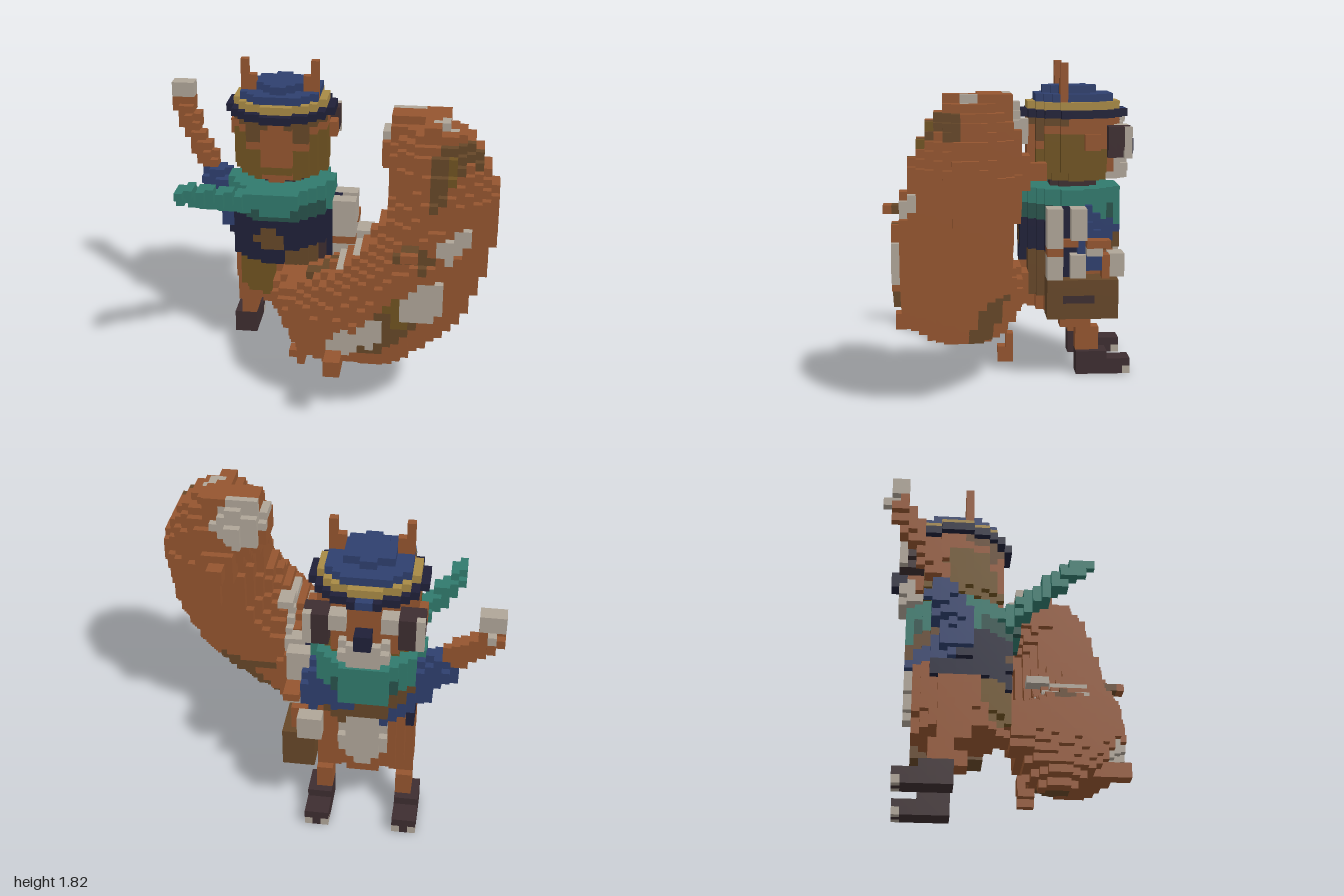
import * as THREE from 'three';

// Blocky courier squirrel: solids are sampled on a cube grid, then meshed per part and colour.
const V = 1 / 22, N = [44, 40, 33], O = [-1, 0, -16.5 * V];
const MID = -6 * V; // body centre line in x

const COLOURS = {
  rust: 0x94552f, cream: 0xafa598, teal: 0x317a6d, deepTeal: 0x28524b, blue: 0x2e3f6e, navy: 0x1f2038,
  gold: 0xa88a45, olive: 0x705321, brown: 0x664728, charcoal: 0x3d2d30,
};

// Solid tests
const ball = (c, r) => (x, y, z) =>
  ((x - c[0]) / r[0]) ** 2 + ((y - c[1]) / r[1]) ** 2 + ((z - c[2]) / r[2]) ** 2 <= 1;
const box = (x0, x1, y0, y1, z0, z1) => (x, y, z) =>
  x > x0 && x < x1 && y > y0 && y < y1 && z > z0 && z < z1;
const drum = (cz, r, y0, y1) => (x, y, z) => y > y0 && y < y1 && Math.hypot(x - MID, z - cz) <= r;
// Mirrored box: distances outward from the centre line
const pair = (d0, d1, ...r) => {
  const l = box(MID - d1, MID - d0, ...r), q = box(MID + d0, MID + d1, ...r);
  return (x, y, z) => l(x, y, z) || q(x, y, z);
};
// Tapered limb through points [x, y, z, radius]
const limb = (...pts) => (x, y, z) => {
  for (let i = 0; i + 1 < pts.length; i++) {
    const a = pts[i], b = pts[i + 1], d = [b[0] - a[0], b[1] - a[1], b[2] - a[2]];
    const q = [x - a[0], y - a[1], z - a[2]];
    const dot = d[0] * q[0] + d[1] * q[1] + d[2] * q[2];
    const t = Math.min(1, Math.max(0, dot / (d[0] ** 2 + d[1] ** 2 + d[2] ** 2)));
    if (Math.hypot(q[0] - d[0] * t, q[1] - d[1] * t, q[2] - d[2] * t) <= a[3] + (b[3] - a[3]) * t) return true;
  }
  return false;
};

export function createModel() {
  const cells = new Map();
  const key = (i, j, k) => (i * 64 + j) * 64 + k;
  const each = (fn) => {
    for (let i = 0; i < N[0]; i++) for (let j = 0; j < N[1]; j++) for (let k = 0; k < N[2]; k++)
      fn(key(i, j, k), O[0] + (i + 0.5) * V, O[1] + (j + 0.5) * V, O[2] + (k + 0.5) * V, [i, j, k]);
  };
  const fill = (part, colour, test) => each((id, x, y, z, at) => {
    if (test(x, y, z)) cells.set(id, { part, colour, at });
  });
  const paint = (part, colour, test) => each((id, x, y, z) => {
    const c = cells.get(id);
    if (c && c.part === part && test(x, y, z)) c.colour = colour;
  });

  // Tail, a thick curl with small tufts
  fill('tail', 'rust', limb(
    [-0.14, 0.5, 0.06, 0.145], [0.1, 0.51, 0.27, 0.28], [0.35, 0.62, 0.38, 0.32], [0.56, 0.8, 0.395, 0.33],
    [0.67, 1.02, 0.355, 0.31], [0.71, 1.25, 0.32, 0.29], [0.67, 1.4, 0.285, 0.268], [0.54, 1.49, 0.18, 0.19]));
  fill('tail', 'rust', box(-0.18, -0.09, 0.09, 0.14, 0.02, 0.11));
  fill('tail', 'rust', box(-0.14, -0.09, 0.045, 0.14, 0.02, 0.11));
  fill('tail', 'rust', box(-0.14, -0.04, 0.13, 0.23, 0.02, 0.07));
  fill('tail', 'rust', box(0.09, 0.18, 0.32, 0.41, 0.5, 0.7));
  fill('tail', 'rust', box(0.54, 0.73, 1.18, 1.36, -0.03, 0.15));
  fill('tail', 'rust', box(0.59, 0.68, 1.22, 1.32, -0.11, 0));
  fill('tail', 'rust', box(0.5, 0.59, 1.04, 1.1, 0.6, 0.75));
  fill('tail', 'rust', box(0.4, 0.72, 1.6, 1.68, 0.05, 0.25));
  fill('tail', 'rust', box(0.6, 0.7, 1.6, 1.68, 0.34, 0.43));
  // Tail streaks and pale fringe
  paint('tail', 'brown', (x, y, z) => y < 0.61 && x > 0.1 && Math.abs(z - 0.27 + 0.32 * (y - 0.2)) < 0.07);
  paint('tail', 'brown', limb([0.72, 1.52, 0.52, 0.1], [0.66, 1.34, 0.6, 0.05]));
  paint('tail', 'brown', ball([0.86, 1.54, 0.4], [0.12, 0.08, 0.08]));
  paint('tail', 'brown', limb([0.34, 0.55, 0.66, 0.1], [0.66, 0.85, 0.72, 0.08]));
  paint('tail', 'brown', limb([0.52, 1.05, 0.64, 0.06], [0.62, 1.02, 0.66, 0.06]));
  paint('tail', 'brown', limb([0, 0.78, 0.3, 0.06], [0.1, 0.8, 0.32, 0.05]));
  paint('tail', 'olive', ball([0.5, 0.74, 0.7], [0.07, 0.1, 0.1]));
  paint('tail', 'olive', ball([0.75, 1.48, 0.54], [0.04, 0.08, 0.1]));
  paint('tail', 'cream', limb([0.16, 0.48, 0.56, 0.07], [0.36, 0.6, 0.7, 0.07]));
  paint('tail', 'cream', limb([0.5, 0.72, 0.74, 0.06], [0.66, 0.8, 0.7, 0.1]));
  paint('tail', 'cream', limb([0.74, 1.08, 0.63, 0.06], [0.82, 1.14, 0.6, 0.06]));
  paint('tail', 'cream', ball([0.51, 1.56, 0.02], [0.16, 0.17, 0.14]));
  paint('tail', 'cream', ball([0.71, 1.65, 0.32], [0.07, 0.05, 0.05]));
  for (const x of [0.16, 0.25]) paint('tail', 'cream', box(x - 0.025, x + 0.02, 0.7, 1.1, 0.06, 0.5));
  paint('tail', 'cream', box(0.35, 0.41, 1.55, 1.66, 0.05, 0.45));
  fill('tail', 'cream', box(0.22, 0.32, 0.95, 1.0, 0.1, 0.23));

  // Hips and pale belly
  fill('hips', 'rust', drum(-0.318, 0.28, 0.45, 0.73));
  fill('hips', 'rust', drum(-0.318, 0.25, 0.36, 0.46));
  paint('hips', 'olive', ball([-0.39, 0.56, -0.06], [0.13, 0.16, 0.2]));
  paint('hips', 'brown', box(-0.24, -0.04, 0.45, 0.73, -0.22, 0));
  paint('hips', 'charcoal', box(-0.05, 0.1, 0.5, 0.73, -0.3, -0.06));
  fill('belly', 'cream', ball([MID, 0.62, -0.5], [0.16, 0.22, 0.13]));

  // Jacket with shoulder strap
  fill('jacket', 'blue', drum(-0.318, 0.3, 0.725, 1.0));
  paint('jacket', 'navy', (x, y, z) => z > -0.33);
  const hem = drum(-0.318, 0.285, 0.64, 0.73);
  fill('jacket', 'navy', (x, y, z) => x < -0.23 && z > -0.5 && hem(x, y, z));
  paint('jacket', 'brown', ball([-0.31, 0.79, -0.03], [0.08, 0.07, 0.1]));
  paint('jacket', 'brown', (x, y, z) => z < -0.45 && Math.abs(y - 0.67 + 0.45 * x) < 0.06);
  fill('belly', 'cream', box(-0.36, -0.18, 0.68, 0.77, -0.62, -0.55));

  // Legs and boots with toe claws
  fill('legs', 'rust', pair(0.135, 0.275, 0.27, 0.46, -0.43, -0.25));
  fill('legs', 'rust', pair(0.18, 0.275, 0.13, 0.28, -0.48, -0.34));
  fill('boots', 'charcoal', pair(0.18, 0.32, 0, 0.09, -0.66, -0.34));
  fill('boots', 'charcoal', pair(0.18, 0.32, 0.09, 0.138, -0.52, -0.34));
  fill('claws', 'cream', pair(0.18, 0.228, 0, 0.046, -0.66, -0.61));
  fill('claws', 'cream', pair(0.272, 0.32, 0, 0.046, -0.66, -0.61));

  // Raised right arm
  fill('rightArm', 'rust', limb([-0.72, 1.08, -0.42, 0.06], [-0.84, 1.25, -0.55, 0.06], [-0.93, 1.4, -0.65, 0.065]));
  fill('rightSleeve', 'blue', limb([-0.54, 0.93, -0.34, 0.11], [-0.72, 1.03, -0.43, 0.075]));
  fill('rightSleeve', 'blue', box(-0.64, -0.55, 0.77, 0.92, -0.45, -0.25));
  fill('rightHand', 'cream', box(-1, -0.86, 1.45, 1.55, -0.71, -0.61));
  fill('rightHand', 'cream', box(-0.96, -0.91, 1.4, 1.46, -0.76, -0.66));

  // Letters, satchel and left arm
  fill('satchel', 'brown', box(0, 0.18, 0.36, 0.592, -0.57, -0.16));
  paint('satchel', 'charcoal', box(0.13, 0.19, 0.45, 0.51, -0.44, -0.26));
  fill('letters', 'cream', box(0.04, 0.18, 0.59, 1.0, -0.25, -0.16));
  fill('letters', 'cream', box(0.04, 0.18, 0.81, 1.0, -0.39, -0.3));
  fill('letters', 'cream', box(0.04, 0.14, 0.59, 0.73, -0.39, -0.3));
  fill('letters', 'cream', box(-0.05, 0.09, 0.59, 0.73, -0.62, -0.52));
  paint('letters', 'rust', box(0.04, 0.19, 0.72, 0.77, -0.25, -0.16));
  fill('letters', 'rust', box(0.04, 0.14, 0.77, 0.82, -0.34, -0.25));
  fill('satchelStrap', 'navy', box(0, 0.09, 0.59, 1.0, -0.3, -0.25));
  fill('leftSleeve', 'blue', limb([-0.02, 0.93, -0.4, 0.08], [0.05, 0.74, -0.43, 0.07]));
  fill('leftSleeve', 'blue', box(0.04, 0.14, 0.63, 0.82, -0.48, -0.38));
  fill('leftHand', 'rust', box(0.04, 0.14, 0.59, 0.73, -0.53, -0.48));
  fill('leftHand', 'rust', box(0.09, 0.18, 0.77, 0.82, -0.53, -0.39));
  fill('leftHand', 'cream', box(0.09, 0.18, 0.72, 0.77, -0.48, -0.39));

  // Scarf with a shaded fold and a trailing end
  fill('scarf', 'teal', drum(-0.318, 0.305, 0.91, 1.09));
  fill('scarf', 'teal', box(-0.41, -0.13, 0.95, 1.09, -0.05, 0.02));
  fill('scarf', 'teal', box(-0.4, -0.14, 0.86, 0.95, -0.61, -0.5));
  paint('scarf', 'deepTeal', (x, y, z) => z > -0.2 && y < (Math.abs(x - MID) < 0.1 ? 0.95 : 1));
  paint('scarf', 'deepTeal', (x, y, z) => z < -0.5 && y < 1 && Math.abs(x - MID) > 0.12);
  fill('scarf', 'teal', limb([-0.45, 1.03, -0.04, 0.06], [-0.61, 1.1, 0.12, 0.055], [-0.73, 1.18, 0.27, 0.05], [-0.755, 1.2, 0.36, 0.035]));

  // Neck and head
  fill('neck', 'charcoal', drum(-0.341, 0.15, 1.08, 1.14));
  fill('head', 'rust', drum(-0.341, 0.255, 1.135, 1.19));
  fill('head', 'rust', drum(-0.341, 0.265, 1.18, 1.505));
  fill('head', 'rust', pair(0.27, 0.32, 1.31, 1.41, -0.48, -0.38));
  paint('head', 'olive', (x, y, z) => z > -0.53 && Math.abs(x - MID) > 0.1 && y < (z < -0.4 || z > -0.16 ? 1.31 : 1.4));
  paint('head', 'olive', (x, y, z) => y > 1.18 && y < 1.24 && z > -0.53);
  paint('head', 'brown', (x, y, z) => y > 1.36 && z > -0.16 && Math.abs(Math.abs(x - MID) - 0.12) < 0.05);
  paint('head', 'brown', (x, y, z) => y > 1.45 && z > -0.3 && Math.abs(x - MID) > 0.06);

  // Face: muzzle, nose and pale-rimmed eyes
  fill('muzzle', 'cream', ball([MID, 1.21, -0.56], [0.16, 0.09, 0.11]));
  fill('nose', 'navy', box(MID - 0.046, MID + 0.046, 1.27, 1.365, -0.71, -0.58));
  fill('eyes', 'charcoal', pair(0.18, 0.275, 1.27, 1.455, -0.66, -0.52));
  fill('eyes', 'charcoal', pair(0.225, 0.32, 1.32, 1.455, -0.61, -0.52));
  fill('eyes', 'cream', pair(0.272, 0.32, 1.27, 1.455, -0.66, -0.61));
  fill('eyes', 'cream', pair(0.09, 0.182, 1.36, 1.455, -0.66, -0.57));

  // Cap: brim, band, crown, then ears poking through
  fill('capBrim', 'navy', drum(-0.341, 0.305, 1.5, 1.546));
  paint('capBrim', 'blue', box(MID - 0.046, MID + 0.046, 1.5, 1.546, -0.67, -0.6));
  fill('capBand', 'gold', drum(-0.341, 0.265, 1.546, 1.591));
  fill('capCrown', 'blue', drum(-0.341, 0.24, 1.591, 1.637));
  fill('capCrown', 'blue', drum(-0.32, 0.145, 1.637, 1.682));
  fill('ears', 'rust', pair(0.135, 0.228, 1.59, 1.728, -0.296, -0.25));
  fill('ears', 'rust', pair(0.18, 0.228, 1.72, 1.82, -0.296, -0.25));

  // Exposed cube faces, gathered per part and colour
  const sets = new Map();
  for (const { part, colour, at } of cells.values()) {
    const id = part + '|' + colour;
    if (!sets.has(id)) sets.set(id, { part, colour, pos: [] });
    const { pos } = sets.get(id);
    for (let a = 0; a < 3; a++) for (const s of [0, 1]) {
      const n = [...at];
      n[a] += s ? 1 : -1;
      if (n.every((c, i) => c >= 0 && c < N[i]) && cells.has(key(...n))) continue;
      const corner = ([u, v]) => {
        const p = [...at];
        p[a] += s; p[(a + 1) % 3] += u; p[(a + 2) % 3] += v;
        return p.map((c, i) => O[i] + c * V);
      };
      const q = [[0, 0], [1, 0], [1, 1], [0, 1]].map(corner);
      if (!s) q.reverse();
      for (const i of [0, 1, 2, 0, 2, 3]) pos.push(...q[i]);
    }
  }

  const mats = {};
  for (const name in COLOURS) {
    mats[name] = new THREE.MeshStandardMaterial({ color: COLOURS[name] });
    mats[name].name = name;
  }
  const model = new THREE.Group(), parts = {};
  for (const { part, colour, pos } of sets.values()) {
    if (!parts[part]) {
      parts[part] = new THREE.Group();
      parts[part].name = part;
      model.add(parts[part]);
    }
    const geo = new THREE.BufferGeometry();
    geo.setAttribute('position', new THREE.Float32BufferAttribute(pos, 3));
    geo.computeVertexNormals();
    const mesh = new THREE.Mesh(geo, mats[colour]);
    mesh.name = part + ' ' + colour;
    parts[part].add(mesh);
  }
  return model;
}
